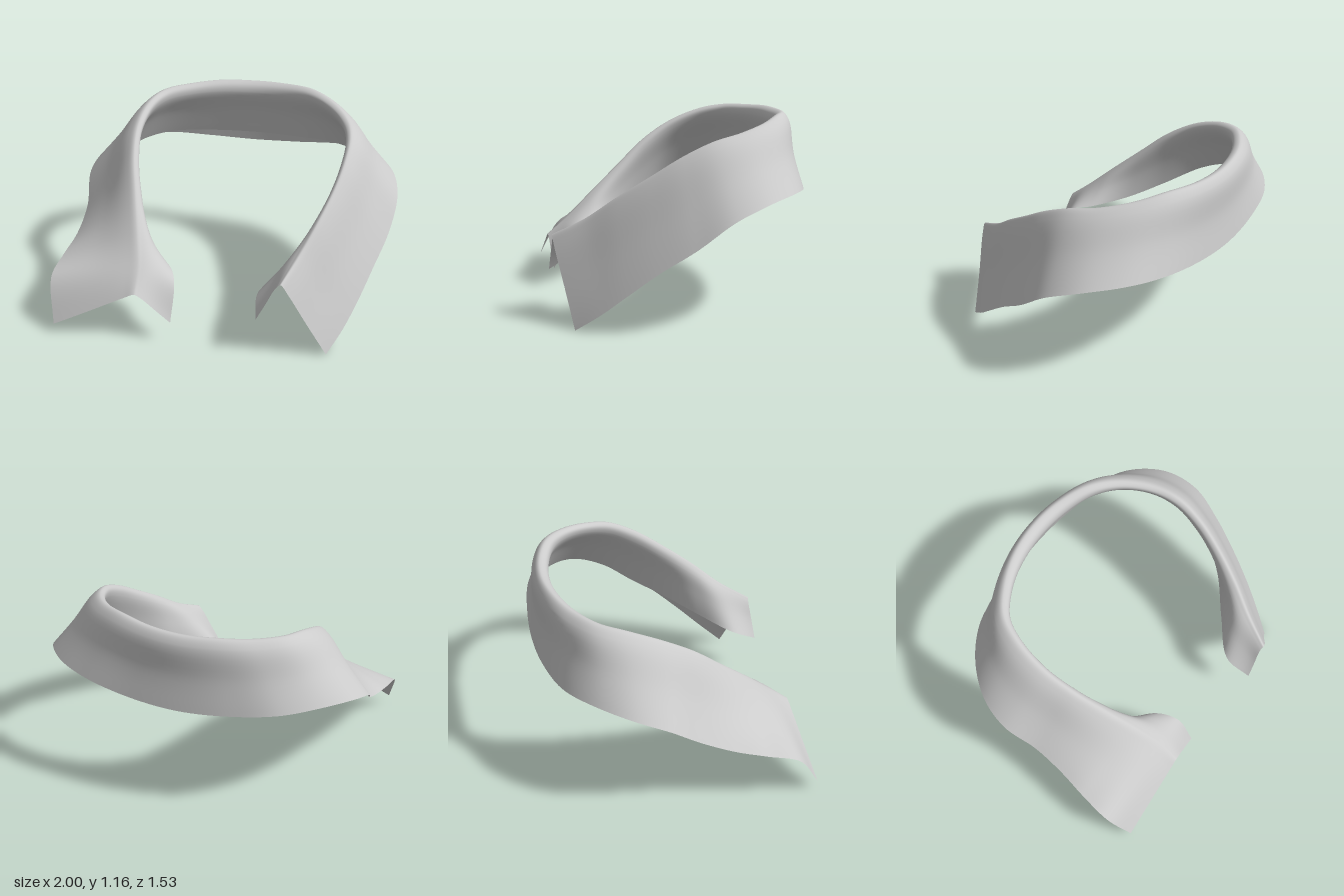
import * as THREE from 'three';

// Guide rails run from the right front tip, round the back, to the left front tip.
const rail = (points) =>
  new THREE.CatmullRomCurve3(points.map((p) => new THREE.Vector3(...p)));

// Free lower edge of the outer leaf
const outerEdge = rail([
  [-0.95, 0.06, 0.72], [-1.0, 0.29, 0.57], [-0.98, 0.35, 0.38], [-0.95, 0.4, 0.2],
  [-0.94, 0.5, 0], [-0.97, 0.65, -0.2], [-0.92, 0.72, -0.38], [-0.78, 0.75, -0.56],
  [-0.57, 0.74, -0.7], [-0.3, 0.715, -0.76], [0, 0.7, -0.78], [0.3, 0.715, -0.76],
  [0.6, 0.75, -0.7], [0.8, 0.76, -0.59], [0.95, 0.73, -0.4], [1.0, 0.65, -0.2],
  [0.97, 0.5, 0], [0.9, 0.36, 0.2], [0.83, 0.22, 0.37], [0.76, 0.1, 0.51], [0.68, 0, 0.64],
]);

// Top of the fold
const foldLine = rail([
  [-0.45, 0.31, 0.7], [-0.46, 0.42, 0.57], [-0.5, 0.56, 0.42], [-0.56, 0.74, 0.22],
  [-0.61, 0.9, 0.04], [-0.63, 1.02, -0.15], [-0.6, 1.1, -0.35], [-0.53, 1.13, -0.5],
  [-0.38, 1.14, -0.61], [-0.2, 1.15, -0.68], [0, 1.15, -0.705], [0.2, 1.155, -0.68],
  [0.4, 1.16, -0.6], [0.55, 1.13, -0.48], [0.66, 1.09, -0.31], [0.7, 1.05, -0.14],
  [0.69, 0.97, 0.03], [0.65, 0.86, 0.2], [0.58, 0.73, 0.39], [0.5, 0.6, 0.56], [0.42, 0.5, 0.74],
]);

// Free lower edge of the inner stand, tucked back under the leaf
const innerEdge = rail([
  [-0.24, 0.13, 0.68], [-0.24, 0.33, 0.56], [-0.3, 0.37, 0.43], [-0.5, 0.4, 0.27],
  [-0.67, 0.48, 0.1], [-0.81, 0.61, -0.12], [-0.82, 0.7, -0.34], [-0.71, 0.75, -0.52],
  [-0.54, 0.77, -0.65], [-0.3, 0.77, -0.72], [0, 0.77, -0.745], [0.3, 0.77, -0.72],
  [0.55, 0.78, -0.65], [0.73, 0.77, -0.53], [0.84, 0.73, -0.35], [0.86, 0.64, -0.15],
  [0.8, 0.52, 0.04], [0.67, 0.45, 0.22], [0.46, 0.4, 0.4], [0.27, 0.35, 0.58], [0.28, 0.26, 0.75],
]);

const up = new THREE.Vector3(0, 1, 0);

// Cross-section: up the leaf, over a rounded fold, down the stand.
// The fold is fullest at the back and flattens towards the front tips.
function section(t) {
  const o = outerEdge.getPoint(t);
  const r = foldLine.getPoint(t);
  const i = innerEdge.getPoint(t);
  const out = up.clone().cross(foldLine.getTangent(t)).normalize();
  const fullness = 0.25 + 0.75 * Math.sin(Math.PI * t);
  const along = (end, k, push) =>
    r.clone().lerp(end, k).addScaledVector(out, push * fullness);
  return new THREE.CatmullRomCurve3([
    o,
    along(o, 0.55, 0.005),
    along(o, 0.12, 0.03),
    r,
    along(i, 0.05, -0.045),
    along(i, 0.18, -0.065),
    along(i, 0.55, -0.03),
    i,
  ]);
}

function foldedSheet(lengthSteps, foldSteps) {
  const positions = [];
  const index = [];
  for (let a = 0; a <= lengthSteps; a++) {
    const curve = section(a / lengthSteps);
    for (let b = 0; b <= foldSteps; b++) {
      positions.push(...curve.getPoint(b / foldSteps).toArray());
    }
  }
  const row = foldSteps + 1;
  for (let a = 0; a < lengthSteps; a++) {
    for (let b = 0; b < foldSteps; b++) {
      const p = a * row + b;
      index.push(p, p + row, p + 1, p + 1, p + row, p + row + 1);
    }
  }
  const geometry = new THREE.BufferGeometry();
  geometry.setAttribute('position', new THREE.Float32BufferAttribute(positions, 3));
  geometry.setIndex(index);
  geometry.computeVertexNormals();
  return geometry;
}

export function createModel() {
  const group = new THREE.Group();
  group.name = 'shirtCollar';
  const cloth = new THREE.MeshStandardMaterial({ color: 0xcccccc, side: THREE.DoubleSide });
  const collar = new THREE.Mesh(foldedSheet(160, 42), cloth);
  collar.name = 'foldedCollar';
  group.add(collar);
  return group;
}
